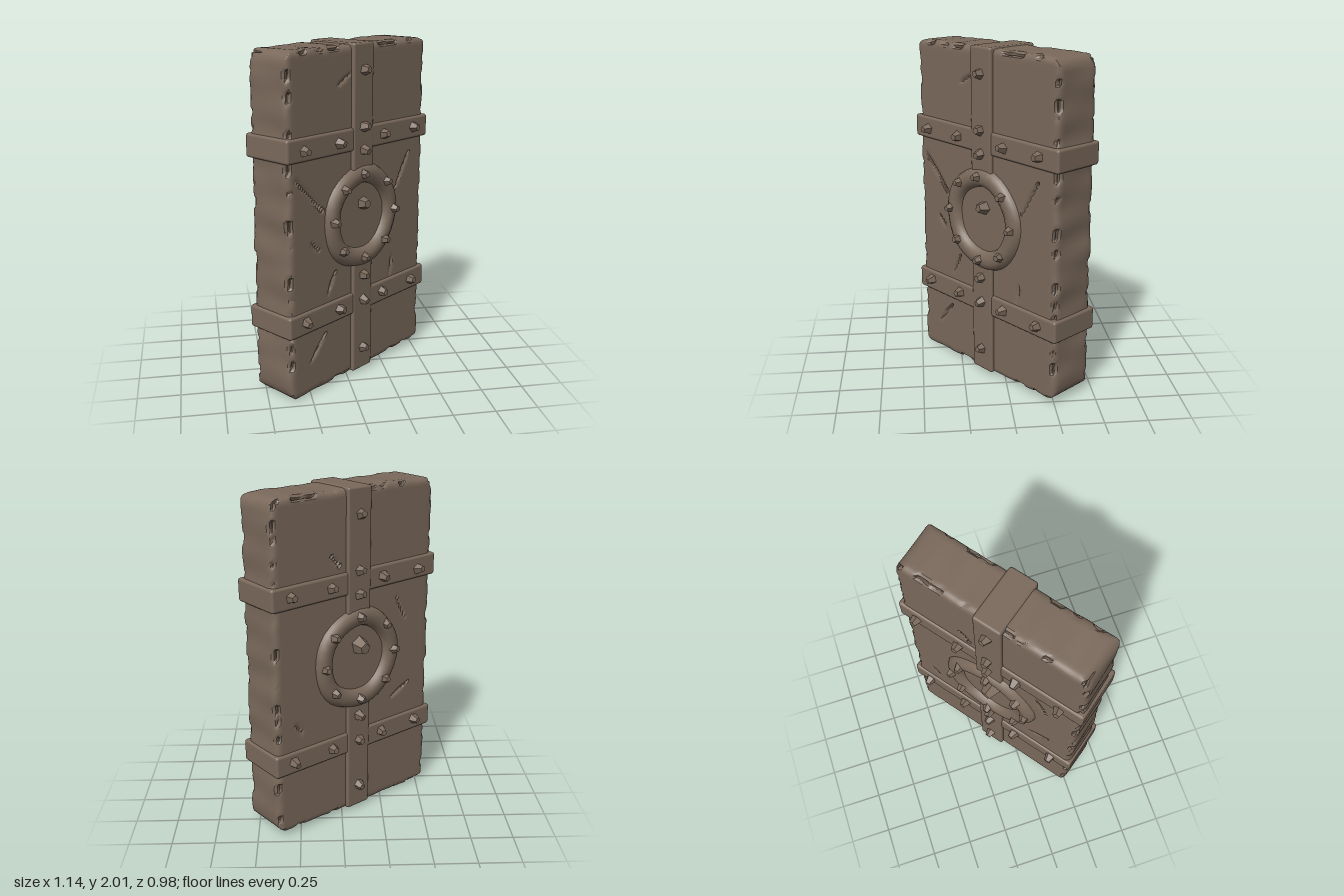
import * as THREE from 'three';
import { toCreasedNormals } from 'three/addons/utils/BufferGeometryUtils.js';
import { RoundedBoxGeometry } from 'three/addons/geometries/RoundedBoxGeometry.js';

const stone = new THREE.MeshStandardMaterial({ color: 0x7a695b });
stone.name = 'weathered brown stone';

const clamp = THREE.MathUtils.clamp;
const smooth = THREE.MathUtils.smoothstep;

let seed = 7;
const rand = () => (seed = (seed * 16807) % 2147483647) / 2147483647;

// Smooth irregular wobble, about -1..1
const wobble = (x, y, z) =>
  (Math.sin(x * 9 + y * 13 + z * 7) + Math.sin(y * 29 - x * 21 + z * 11 + 1) + Math.sin(y * 47 + x * 38 + 2.3)) / 3;

// Cracks as [x1, y1, x2, y2] on the front (side 1) and back (side -1)
const cracks = {
  1: [[-0.55, 1.33, -0.32, 1.09], [0.45, 1.32, 0.32, 1.1], [-0.3, 0.35, -0.43, 0.19], [-0.1, 1.83, -0.2, 1.77],
    [0.3, 0.68, 0.28, 0.55], [-0.42, 0.93, -0.35, 0.86], [-0.22, 0.7, -0.28, 0.58]],
  '-1': [[0.46, 0.7, 0.4, 0.62], [-0.27, 0.66, -0.41, 0.73], [-0.3, 1.32, -0.38, 1.16], [0.2, 1.64, 0.13, 1.57]],
};

function crackDepth(x, y, side) {
  let depth = 0;
  for (const [x1, y1, x2, y2] of cracks[side]) {
    const dx = x2 - x1, dy = y2 - y1;
    const t = clamp(((x - x1) * dx + (y - y1) * dy) / (dx * dx + dy * dy), 0, 1);
    const d = Math.hypot(x - x1 - t * dx, y - y1 - t * dy);
    const width = 0.004 + 0.012 * Math.sin(Math.PI * t);
    depth = Math.max(depth, 0.014 * (1 - d / width));
  }
  return depth;
}

// Slab with worn, chipped edges and shallow cracks
function slabGeometry() {
  const h = new THREE.Vector3(0.585, 0.992, 0.15);
  const g = new THREE.BoxGeometry(h.x * 2, h.y * 2, h.z * 2, 80, 132, 16);
  const pos = g.attributes.position;
  const p = new THREE.Vector3(), q = new THREE.Vector3(), d = new THREE.Vector3();
  const r = 0.035, R = 0.075;
  for (let i = 0; i < pos.count; i++) {
    p.fromBufferAttribute(pos, i);
    const side = p.z > 0 ? 1 : -1;
    const flat = Math.abs(p.z) > h.z - 1e-4;
    // round the long edges
    q.set(clamp(p.x, -h.x + r, h.x - r), clamp(p.y, -h.y + r, h.y - r), clamp(p.z, -h.z + r, h.z - r));
    d.subVectors(p, q);
    const len = d.length();
    if (len > r) d.multiplyScalar(r / len);
    const edge = 1 - Math.max(Math.abs(d.x), Math.abs(d.y), Math.abs(d.z)) / r;
    p.addVectors(q, d);
    // chip the edges inward
    const chip = smooth(wobble(p.x * 1.3, p.y * 1.3, p.z), 0.05, 0.55) * 0.03 * Math.min(1, edge * 4);
    p.addScaledVector(d, -chip / r);
    // round the four outer corners
    const cx = clamp(p.x, -h.x + R, h.x - R), cy = clamp(p.y, -h.y + R, h.y - R);
    const c = Math.hypot(p.x - cx, p.y - cy);
    if (c > R) {
      p.x = cx + (p.x - cx) * R / c;
      p.y = cy + (p.y - cy) * R / c;
    }
    // uneven ends and a bottom that rises to one side
    const endX = smooth(Math.abs(p.x), 0.5, h.x), endY = smooth(Math.abs(p.y), 0.9, h.y);
    p.x += Math.sign(p.x) * endX * 0.008 * wobble(0.4, p.y * 0.7, p.z);
    p.y += endY * 0.005 * wobble(p.x, 0.3, p.z);
    if (p.y < 0) p.y += endY * 0.012 * (p.x / h.x);
    p.y += 1;
    if (flat) p.z -= side * Math.max(0, crackDepth(p.x, p.y, side));
    pos.setXYZ(i, p.x, p.y, p.z);
  }
  return toCreasedNormals(g, 0.6);
}

function add(parent, geometry, name, x = 0, y = 0, z = 0) {
  const mesh = new THREE.Mesh(geometry, stone);
  mesh.name = name;
  mesh.position.set(x, y, z);
  parent.add(mesh);
  return mesh;
}

// Irregular five-sided stud pointing along +z
function addStud(parent, x, y, z, size = 0.036) {
  let g = new THREE.CylinderGeometry(size * 0.55, size, size * 1.4, 5, 1);
  g.rotateY(rand() * 6.28);
  g.rotateX(Math.PI / 2);
  g = toCreasedNormals(g, 0.1);
  const stud = add(parent, g, 'stud', x, y, z + size * 0.5);
  stud.rotation.set((rand() - 0.5) * 0.35, (rand() - 0.5) * 0.35, 0);
}

// Round frame and studs for one face
function buildFace(bossSize) {
  const face = new THREE.Group();
  const ring = new THREE.TorusGeometry(0.253, 0.058, 10, 36);
  const pos = ring.attributes.position;
  for (let i = 0; i < pos.count; i++) {
    const x = pos.getX(i), y = pos.getY(i);
    const k = 1 + 0.012 * Math.sin(Math.atan2(y, x) * 5 + 1);
    pos.setXYZ(i, x * k, y * k, pos.getZ(i) * 0.75);
  }
  ring.computeVertexNormals();
  add(face, toCreasedNormals(ring, 0.7), 'ringFrame', 0, 0.995, 0.148);
  for (let i = 0; i < 8; i++) {
    const a = i * Math.PI / 4 + (rand() - 0.5) * 0.12;
    addStud(face, 0.26 * Math.sin(a), 1.0 + 0.255 * Math.cos(a), 0.182, 0.033);
  }
  addStud(face, 0.01, 1.07, 0.145, bossSize);
  for (const y of [1.46, 0.47]) {
    for (const x of [-0.48, -0.2, 0.18, 0.46]) addStud(face, x, y, 0.165);
  }
  for (const y of [1.85, 1.53, 1.39, 0.63, 0.47, 0.16]) addStud(face, 0, y, 0.169);
  return face;
}

export function createModel() {
  const model = new THREE.Group();
  model.name = 'studdedStoneSlab';

  const slab = new THREE.Group();
  slab.name = 'turnedSlab';
  slab.rotation.y = THREE.MathUtils.degToRad(37.5);
  model.add(slab);

  add(slab, slabGeometry(), 'slabBody');

  // Horizontal bands wrapped around the slab
  const band = new RoundedBoxGeometry(1.205, 0.135, 0.33, 2, 0.016);
  add(slab, band, 'upperBand', 0, 1.461, 0).rotation.z = -0.012;
  add(slab, band, 'lowerBand', 0, 0.465, 0).rotation.z = 0.004;

  // Vertical strap, broken by the ring
  add(slab, new RoundedBoxGeometry(0.17, 0.76, 0.342, 2, 0.014), 'upperStrap', 0, 1.62, 0);
  add(slab, new RoundedBoxGeometry(0.17, 0.72, 0.342, 2, 0.014), 'lowerStrap', 0, 0.378, 0);

  const front = buildFace(0.046);
  front.name = 'frontFittings';
  const back = buildFace(0.062);
  back.name = 'backFittings';
  back.rotation.y = Math.PI;
  slab.add(front, back);

  return model;
}
